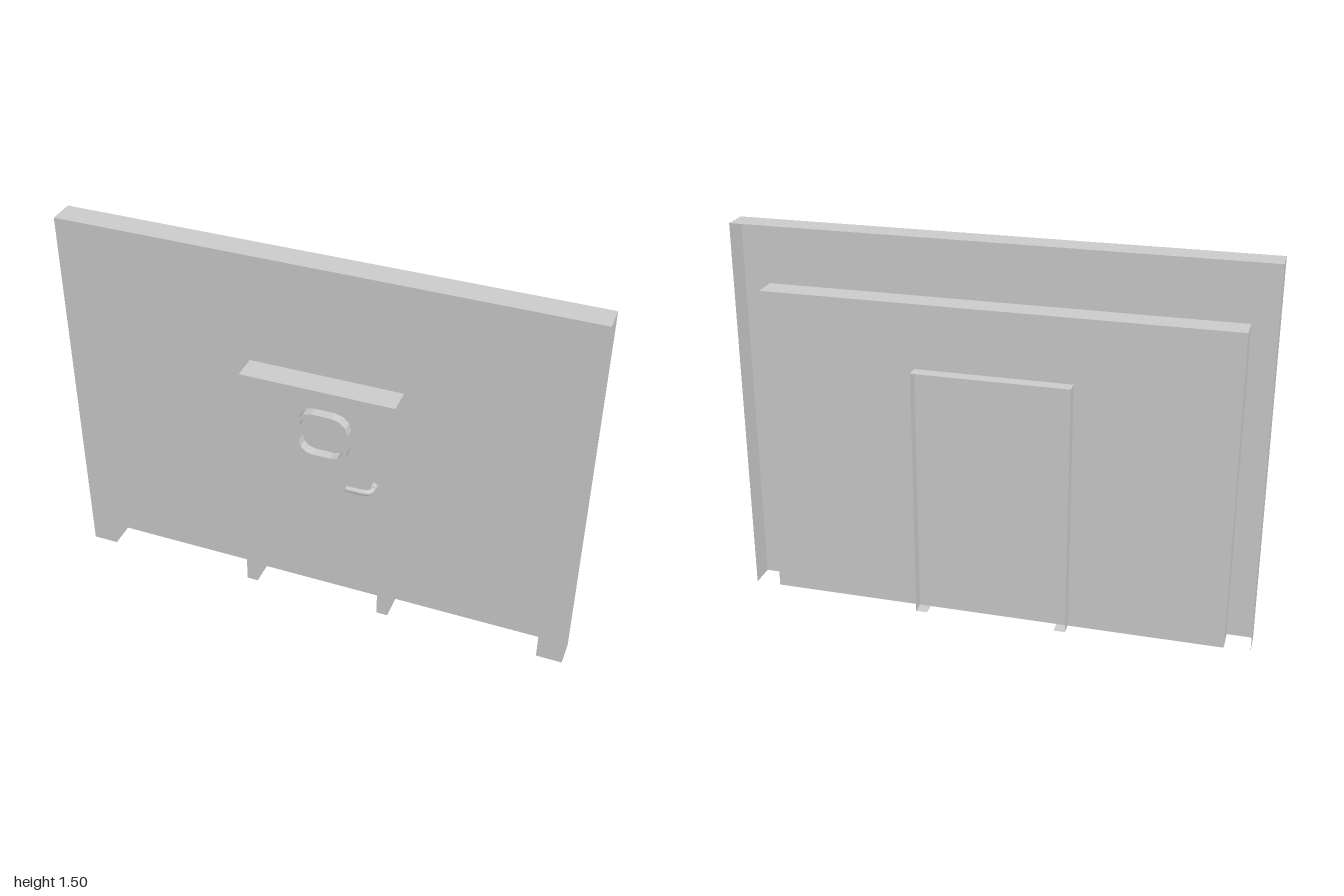
import * as THREE from 'three';

const grey = new THREE.MeshStandardMaterial({ color: 0xcccccc, side: THREE.DoubleSide, flatShading: true });
const smooth = new THREE.MeshStandardMaterial({ color: 0xcccccc });

function add(parent, name, geometry, material = grey) {
  const mesh = new THREE.Mesh(geometry, material);
  mesh.name = name;
  parent.add(mesh);
  return mesh;
}

// Flat rectangle standing on the floor
function panel(halfWidth, height, z) {
  return new THREE.PlaneGeometry(halfWidth * 2, height).translate(0, height / 2, z);
}

// Flat U-shaped front face around an opening
function archFace(w, h, innerW, innerH, z) {
  const shape = new THREE.Shape([
    [-w, 0], [-innerW, 0], [-innerW, innerH], [innerW, innerH],
    [innerW, 0], [w, 0], [w, h], [-w, h],
  ].map(([x, y]) => new THREE.Vector2(x, y)));
  return new THREE.ShapeGeometry(shape).translate(0, 0, z);
}

// Strip over both sides and the top; outward facing, or inward for a recess
function archSides(w, h, front, back, inward = false) {
  const path = [[-w, 0], [-w, h], [w, h], [w, 0]];
  const geometry = new THREE.PlaneGeometry(1, 1, 3, 1);
  const pos = geometry.attributes.position;
  for (let i = 0; i < pos.count; i++) {
    const [x, y] = path[i % 4];
    pos.setXYZ(i, x, y, (i < 4) === inward ? front : back);
  }
  const flat = geometry.toNonIndexed();
  flat.computeVertexNormals();
  return flat;
}

// Rounded rectangle outline with three facets per corner
function roundedOutline(Type, w, h, r) {
  const points = [];
  [[1, 1], [-1, 1], [-1, -1], [1, -1]].forEach(([sx, sy], corner) => {
    for (let i = 0; i <= 3; i++) {
      const a = (corner + i / 3) * Math.PI / 2;
      points.push(new THREE.Vector2(sx * (w - r) + r * Math.cos(a), sy * (h - r) + r * Math.sin(a)));
    }
  });
  return new Type(points);
}

export function createModel() {
  const model = new THREE.Group();
  model.name = 'wallWithDoor';
  const front = 0.075, wallBack = -0.025, frameBack = -0.075, doorZ = -0.017;

  // Outer wall, open at the back, with a wide recess
  const wall = new THREE.Group();
  wall.name = 'wall';
  model.add(wall);
  add(wall, 'wallFace', archFace(1, 1.5, 0.9, 1.25, front));
  add(wall, 'wallSides', archSides(1, 1.5, front, wallBack));
  add(wall, 'recessSides', archSides(0.9, 1.25, front, wallBack, true));
  add(wall, 'recessPanel', panel(0.9, 1.25, wallBack));

  // Door frame passing through the recessed panel
  const frame = new THREE.Group();
  frame.name = 'doorFrame';
  model.add(frame);
  add(frame, 'frameFace', archFace(0.3, 1, 0.255, 0.953, front));
  add(frame, 'frameSides', archSides(0.3, 1, front, frameBack));
  add(frame, 'frameReveal', archSides(0.255, 0.953, front, doorZ, true));
  for (const side of [-1, 1]) {
    const foot = new THREE.PlaneGeometry(0.045, front - frameBack).rotateX(Math.PI / 2);
    add(frame, 'frameFoot', foot).position.set(side * 0.2775, 0, 0);
  }

  // Door leaf
  const door = new THREE.Group();
  door.name = 'door';
  model.add(door);
  add(door, 'doorLeaf', panel(0.255, 0.953, doorZ));

  // Window rim, the door leaf shows through as the pane
  const rim = roundedOutline(THREE.Shape, 0.105, 0.1, 0.065);
  rim.holes.push(roundedOutline(THREE.Path, 0.089, 0.084, 0.052));
  add(door, 'windowRim', new THREE.ExtrudeGeometry(rim, { depth: 0.039, bevelEnabled: false }))
    .position.set(0, 0.752, doorZ);

  // Lever handle: stem out of the door, bending into the grip
  const path = new THREE.CatmullRomCurve3([
    [0.201, 0.556, doorZ], [0.201, 0.556, 0.015], [0.192, 0.556, 0.029],
    [0.17, 0.555, 0.033], [0.107, 0.553, 0.032],
  ].map((p) => new THREE.Vector3(...p)));
  add(door, 'handle', new THREE.TubeGeometry(path, 20, 0.0115, 10), smooth);
  add(door, 'handleTip', new THREE.SphereGeometry(0.0115, 10, 8).scale(0.4, 1, 1), smooth)
    .position.set(0.107, 0.553, 0.032);
  add(door, 'handleCollar', new THREE.CylinderGeometry(0.015, 0.015, 0.022, 12).rotateX(Math.PI / 2), smooth)
    .position.set(0.2, 0.556, doorZ + 0.011);

  return model;
}
